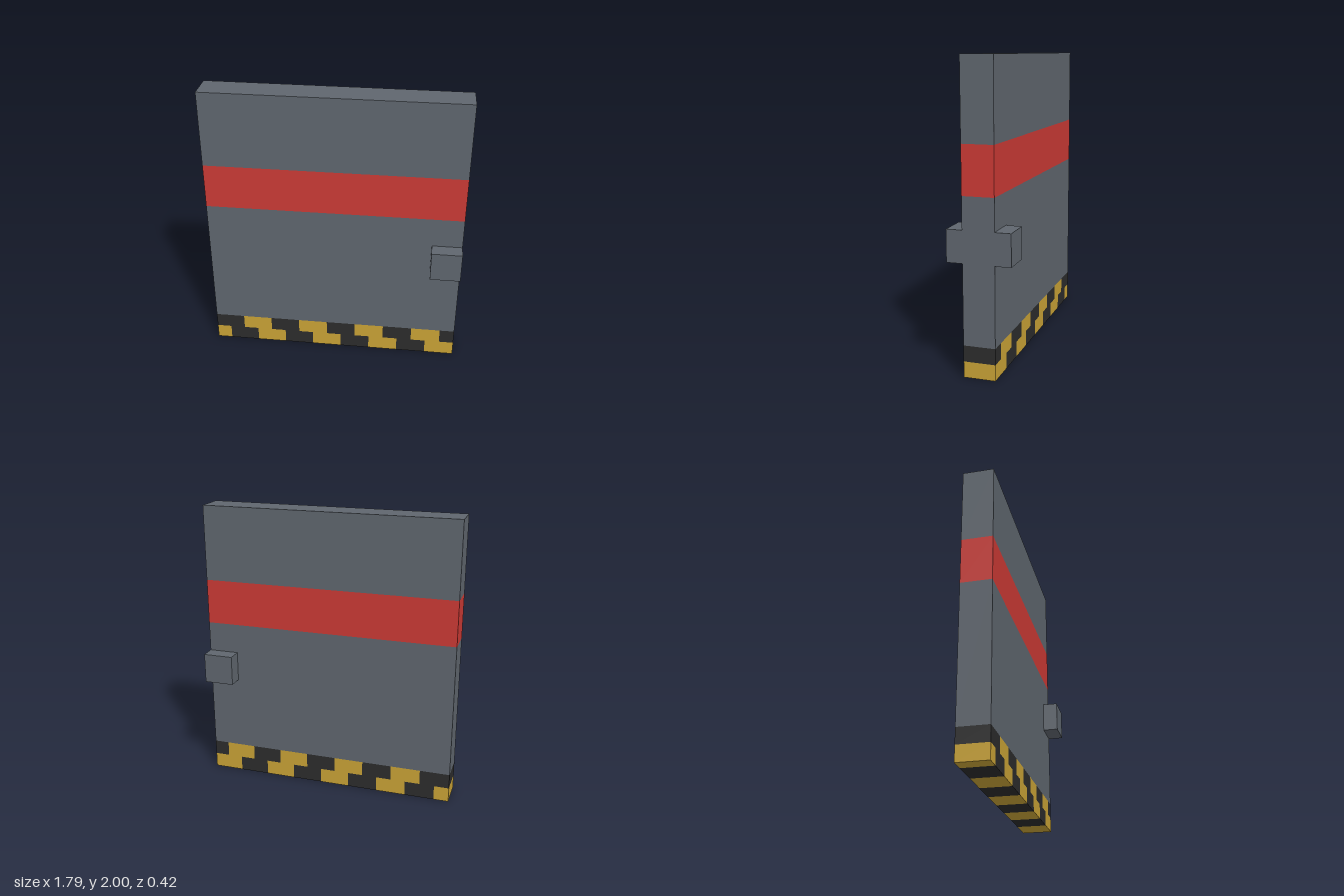
import * as THREE from 'three';

// Everything sits on a grid of cells: 17 wide, 19 high, 2 deep
const U = 2 / 19;
const HALF_W = 8.5;

const material = (name, color) => {
  const m = new THREE.MeshStandardMaterial({ color });
  m.name = name;
  return m;
};

// Box given by its cell bounds, keeping only the listed outer faces
const FACES = ['+x', '-x', '+y', '-y', '+z', '-z'];
function block(name, mat, [x0, x1], [y0, y1], [z0, z1], keep) {
  const g = new THREE.BoxGeometry((x1 - x0) * U, (y1 - y0) * U, (z1 - z0) * U);
  const old = g.getIndex().array;
  const index = [];
  FACES.forEach((f, i) => {
    if (keep.includes(f)) index.push(...old.slice(i * 6, i * 6 + 6));
  });
  g.setIndex(index);
  g.clearGroups();
  g.translate((x0 + x1) / 2 * U, (y0 + y1) / 2 * U, (z0 + z1) / 2 * U);
  const mesh = new THREE.Mesh(g, mat);
  mesh.name = name;
  return mesh;
}

export function createModel() {
  const grey = material('steel grey', 0x5f666e);
  const red = material('signal red', 0xcb3a35);
  const yellow = material('hazard yellow', 0xc9a336);
  const black = material('hazard black', 0x2c2c2c);

  const door = new THREE.Group();
  door.name = 'door';
  const width = [-HALF_W, HALF_W];
  const depth = [-1, 1];
  const sides = ['+x', '-x', '+z', '-z'];

  // Door leaf with a red band
  door.add(
    block('lowerPanel', grey, width, [2, 11], depth, sides),
    block('redBand', red, width, [11, 14], depth, sides),
    block('upperPanel', grey, width, [14, 19], depth, [...sides, '+y']),
  );

  // Stepped hazard stripes: two rows of two-cell blocks, offset by one cell
  const hazard = new THREE.Group();
  hazard.name = 'hazardStripes';
  const rows = [
    { y: 0, start: -1, first: yellow, second: black },
    { y: 1, start: 0, first: black, second: yellow },
  ];
  for (const { y, start, first, second } of rows) {
    for (let c = start, i = 0; c < 17; c += 2, i++) {
      const a = Math.max(c, 0), b = Math.min(c + 2, 17);
      const keep = ['+z', '-z'];
      if (y === 0) keep.push('-y');
      if (a === 0) keep.push('-x');
      if (b === 17) keep.push('+x');
      hazard.add(block('hazardBlock', i % 2 ? second : first,
        [a - HALF_W, b - HALF_W], [y, y + 1], depth, keep));
    }
  }
  door.add(hazard);

  // Square handles on both faces, flush with the left edge
  const handleX = [HALF_W - 2, HALF_W];
  door.add(
    block('frontHandle', grey, handleX, [7, 9], [1, 2], FACES.filter(f => f !== '-z')),
    block('backHandle', grey, handleX, [7, 9], [-2, -1], FACES.filter(f => f !== '+z')),
  );
  return door;
}
